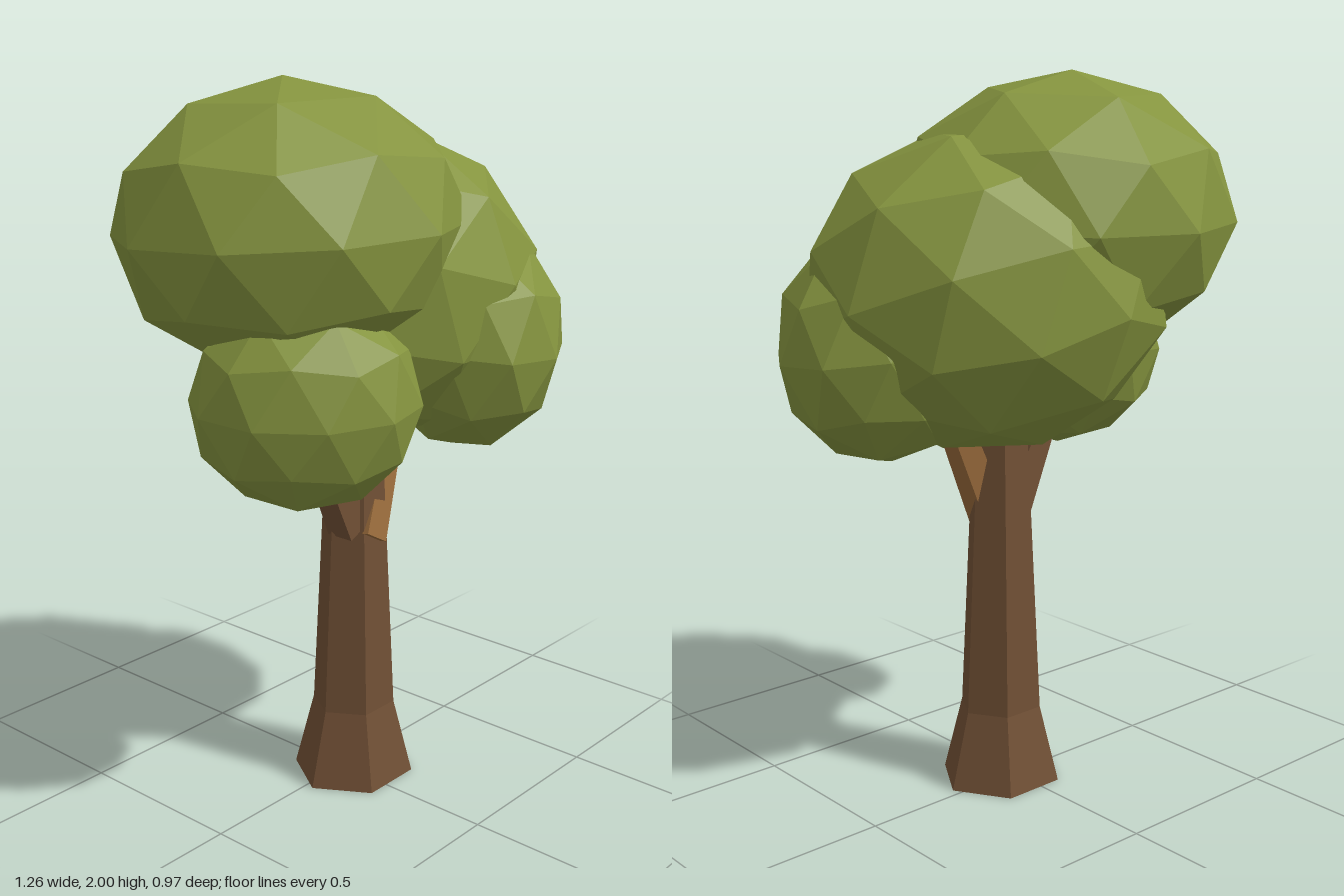
import * as THREE from 'three';

const mat = (name, color) => {
  const m = new THREE.MeshStandardMaterial({ color, flatShading: true });
  m.name = name;
  return m;
};

export function createModel() {
  const tree = new THREE.Group();
  tree.name = 'tree';
  const bark = mat('bark brown', 0x715035);
  const lightBark = mat('light bark', 0x9a6c3c);
  const leaf = mat('leaf green', 0x85943f);

  const add = (name, geometry, material) => {
    const mesh = new THREE.Mesh(geometry, material);
    mesh.name = name;
    tree.add(mesh);
    return mesh;
  };

  // Six-sided trunk with a flared foot, corners pointing along x
  const profile = [[0, 0], [0.181, 0], [0.123, 0.22], [0.094, 0.8], [0.078, 1.12], [0, 1.12]]
    .map(([r, y]) => new THREE.Vector2(r, y));
  const trunkGeo = new THREE.LatheGeometry(profile, 6, Math.PI / 2);
  trunkGeo.scale(1, 1, 0.94);
  add('trunk', trunkGeo, bark).position.set(0.026, 0, 0.025);

  // Square tapering branches leaving the trunk
  const branch = (name, from, to, material) => {
    const a = new THREE.Vector3(...from), b = new THREE.Vector3(...to);
    const dir = b.clone().sub(a);
    const geo = new THREE.CylinderGeometry(0.045, 0.06, dir.length(), 4);
    geo.rotateY(Math.PI / 4);
    const mesh = add(name, geo, material);
    mesh.position.copy(a).add(b).multiplyScalar(0.5);
    mesh.quaternion.setFromUnitVectors(new THREE.Vector3(0, 1, 0), dir.normalize());
  };
  branch('leftBranch', [0.01, 0.74, 0.08], [0.23, 1.12, 0], lightBark);
  branch('rightBranch', [-0.025, 0.77, 0.05], [-0.19, 1.12, 0.05], bark);

  // Faceted leaf clumps: name, centre, radii, facet turns [y, x, z], heading of the long axis
  const poleTilt = -Math.atan(2 / (1 + Math.sqrt(5)));
  const clumps = [
    ['topLeaves', [-0.15, 1.615, -0.04], [0.49, 0.385, 0.455], [0.1, -0.06, 0], 0],
    ['mainLeaves', [0.105, 1.43, -0.015], [0.5, 0.435, 0.43], [0.3, 0.28, -0.25], -0.45],
    ['leftLeaves', [0.325, 1.285, 0.17], [0.36, 0.325, 0.28], [0.6, 0.1, 0], 0.785],
    ['rightLeaves', [-0.307, 1.21, 0.147], [0.3, 0.285, 0.24], [0.15, 0.05, 0], -0.785],
  ];
  for (const [name, centre, radii, turns, heading] of clumps) {
    const geo = new THREE.IcosahedronGeometry(1, 1);
    geo.rotateZ(poleTilt);
    geo.rotateY(turns[0]);
    geo.rotateX(turns[1]);
    geo.rotateZ(turns[2]);
    geo.scale(...radii);
    geo.rotateY(heading);
    add(name, geo, leaf).position.set(...centre);
  }
  return tree;
}
